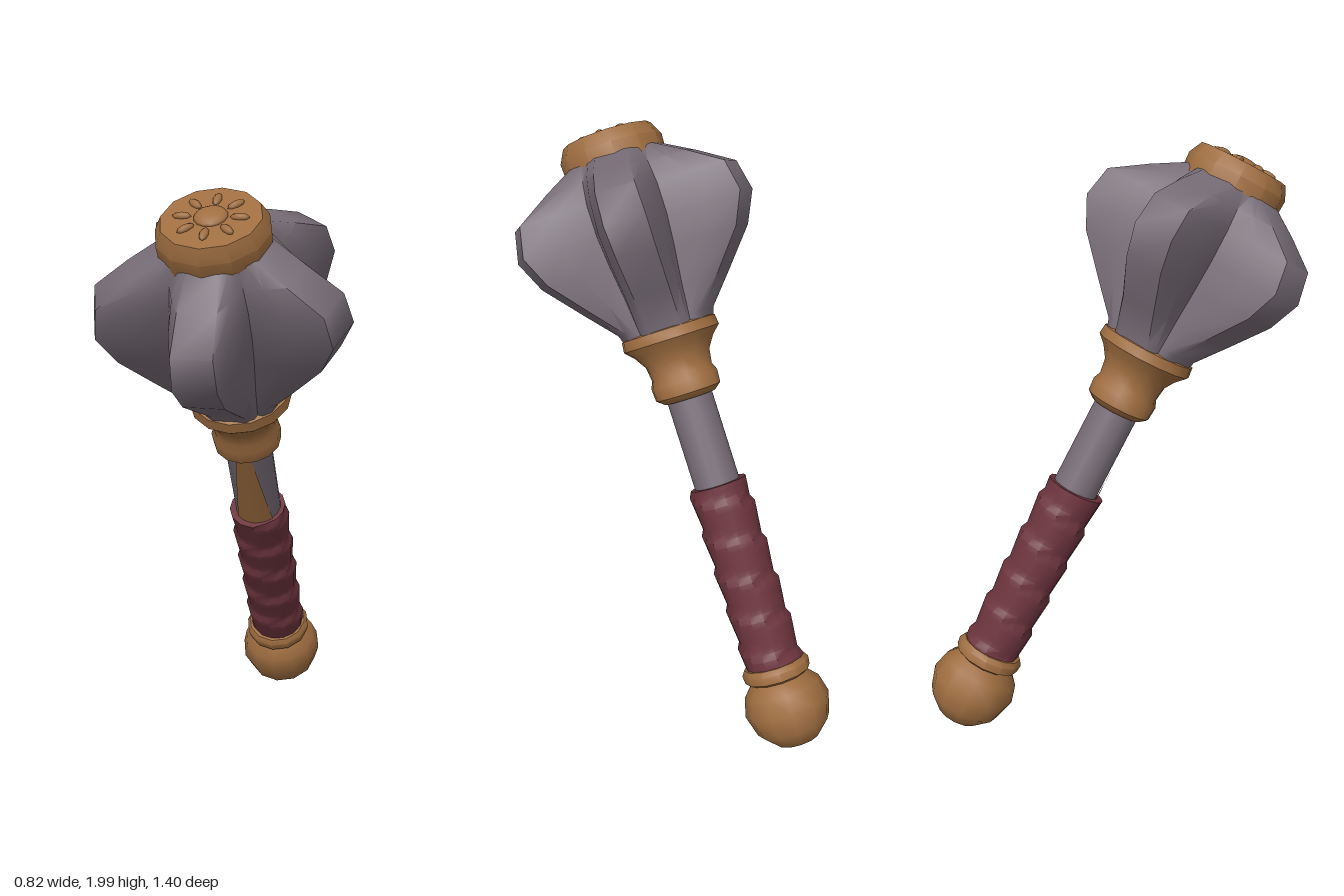
import * as THREE from 'three';
import { toCreasedNormals } from 'three/addons/utils/BufferGeometryUtils.js';

const steel = new THREE.MeshStandardMaterial({ color: 0x766b75 });
steel.name = 'steel';
const bronze = new THREE.MeshStandardMaterial({ color: 0x9e6d40 });
bronze.name = 'bronze';
const leather = new THREE.MeshStandardMaterial({ color: 0x6c343d });
leather.name = 'leather';

function part(name, geometry, material, y = 0) {
  const mesh = new THREE.Mesh(geometry, material);
  mesh.name = name;
  mesh.position.y = y;
  return mesh;
}

// Turned part from [radius, height] pairs, bottom to top
function turned(points, sides, crease = 0.75) {
  const profile = points.map(([r, y]) => new THREE.Vector2(r, y));
  return toCreasedNormals(new THREE.LatheGeometry(profile, sides), crease);
}

// Five-lobed head lofted from [height, lobe radius, valley radius, lobe half width]
function headGeometry() {
  const rings = [
    [1.47, 0.135, 0.135, 0.05],
    [1.55, 0.16, 0.15, 0.055],
    [1.65, 0.25, 0.165, 0.06],
    [1.775, 0.36, 0.19, 0.065],
    [1.88, 0.41, 0.205, 0.068],
    [1.985, 0.387, 0.205, 0.064],
    [2.06, 0.27, 0.19, 0.06],
    [2.12, 0.165, 0.165, 0.05],
  ];
  const positions = [], index = [], count = 25;
  for (const [y, tip, valley, w] of rings) {
    const vx = valley * Math.sin(Math.PI / 5), vz = valley * Math.cos(Math.PI / 5);
    const sx = Math.min(w * 1.5, vx * 0.92), sz = vz + (tip - vz) * 0.5;
    const outline = [[-vx, vz], [-sx, sz], [-w, tip], [w, tip], [sx, sz]];
    for (let lobe = 0; lobe < 5; lobe++) {
      const a = lobe * Math.PI * 2 / 5, c = Math.cos(a), s = Math.sin(a);
      for (const [x, z] of outline) positions.push(x * c + z * s, y, z * c - x * s);
    }
  }
  for (let i = 0; i < rings.length - 1; i++) {
    for (let j = 0; j < count; j++) {
      const a = i * count + j, b = i * count + (j + 1) % count;
      index.push(a, b, b + count, a, b + count, a + count);
    }
  }
  const g = new THREE.BufferGeometry();
  g.setAttribute('position', new THREE.Float32BufferAttribute(positions, 3));
  g.setIndex(index);
  return toCreasedNormals(g, 0.8);
}

// Grip with a spiral wrap stepped into its radius
function gripGeometry() {
  const length = 0.69;
  const g = new THREE.CylinderGeometry(0.1, 0.1, length, 14, 30);
  const p = g.attributes.position;
  for (let i = 0; i < p.count; i++) {
    const x = p.getX(i), z = p.getZ(i), s = p.getY(i) / length + 0.5;
    const turn = 5 * s + Math.atan2(x, z) / (Math.PI * 2) + 10;
    const k = 0.93 + 0.14 * (turn - Math.floor(turn));
    p.setX(i, x * k);
    p.setZ(i, z * k);
  }
  return toCreasedNormals(g, 0.7);
}

// Bronze inlay on the shaft front, narrowing upward
function inlayGeometry() {
  const r = 0.083, length = 0.36;
  const g = new THREE.CylinderGeometry(r, r, length, 6, 4, true, -0.8, 1.6);
  const p = g.attributes.position;
  for (let i = 0; i < p.count; i++) {
    const x = p.getX(i) * (0.75 - 0.7 * p.getY(i) / length);
    p.setX(i, x);
    p.setZ(i, Math.sqrt(r * r - x * x));
  }
  g.computeVertexNormals();
  return g;
}

export function createModel() {
  const model = new THREE.Group();
  model.name = 'mace';
  const mace = new THREE.Group();
  mace.name = 'tiltedMace';
  mace.position.set(0, 0.006, -0.63);
  mace.rotation.x = Math.PI / 6;
  model.add(mace);

  // Handle
  mace.add(part('pommel', turned([
    [0, 0.015], [0.075, 0.03], [0.13, 0.085], [0.152, 0.16], [0.135, 0.225], [0.1, 0.262],
    [0.117, 0.272], [0.12, 0.3], [0.108, 0.318], [0, 0.318],
  ], 12), bronze));
  mace.add(part('grip', gripGeometry(), leather, 0.625));
  mace.add(part('shaft', new THREE.CylinderGeometry(0.08, 0.08, 0.4, 16), steel, 1.13));
  mace.add(part('shaftInlay', inlayGeometry(), bronze, 1.13));

  // Collar under the head
  mace.add(part('collar', turned([
    [0, 1.28], [0.09, 1.28], [0.115, 1.3], [0.118, 1.345], [0.107, 1.37], [0.114, 1.42],
    [0.14, 1.46], [0.17, 1.49], [0.166, 1.525], [0.12, 1.54], [0, 1.54],
  ], 14), bronze));

  mace.add(part('lobedHead', headGeometry(), steel));

  // Cap with a raised sunburst
  mace.add(part('cap', turned([
    [0.15, 2.07], [0.175, 2.095], [0.178, 2.155], [0.155, 2.2], [0, 2.205],
  ], 12, 0.6), bronze));
  const sun = new THREE.Group();
  sun.name = 'sunburst';
  sun.position.y = 2.203;
  const disc = part('sunDisc', new THREE.SphereGeometry(0.052, 14, 8), bronze);
  disc.scale.y = 0.35;
  sun.add(disc);
  for (let i = 0; i < 8; i++) {
    const a = i * Math.PI / 4;
    const ray = part('sunRay', new THREE.SphereGeometry(1, 8, 6), bronze);
    ray.scale.set(0.014, 0.012, 0.03);
    ray.position.set(Math.sin(a) * 0.088, 0, Math.cos(a) * 0.088);
    ray.rotation.y = a;
    sun.add(ray);
  }
  mace.add(sun);
  return model;
}
